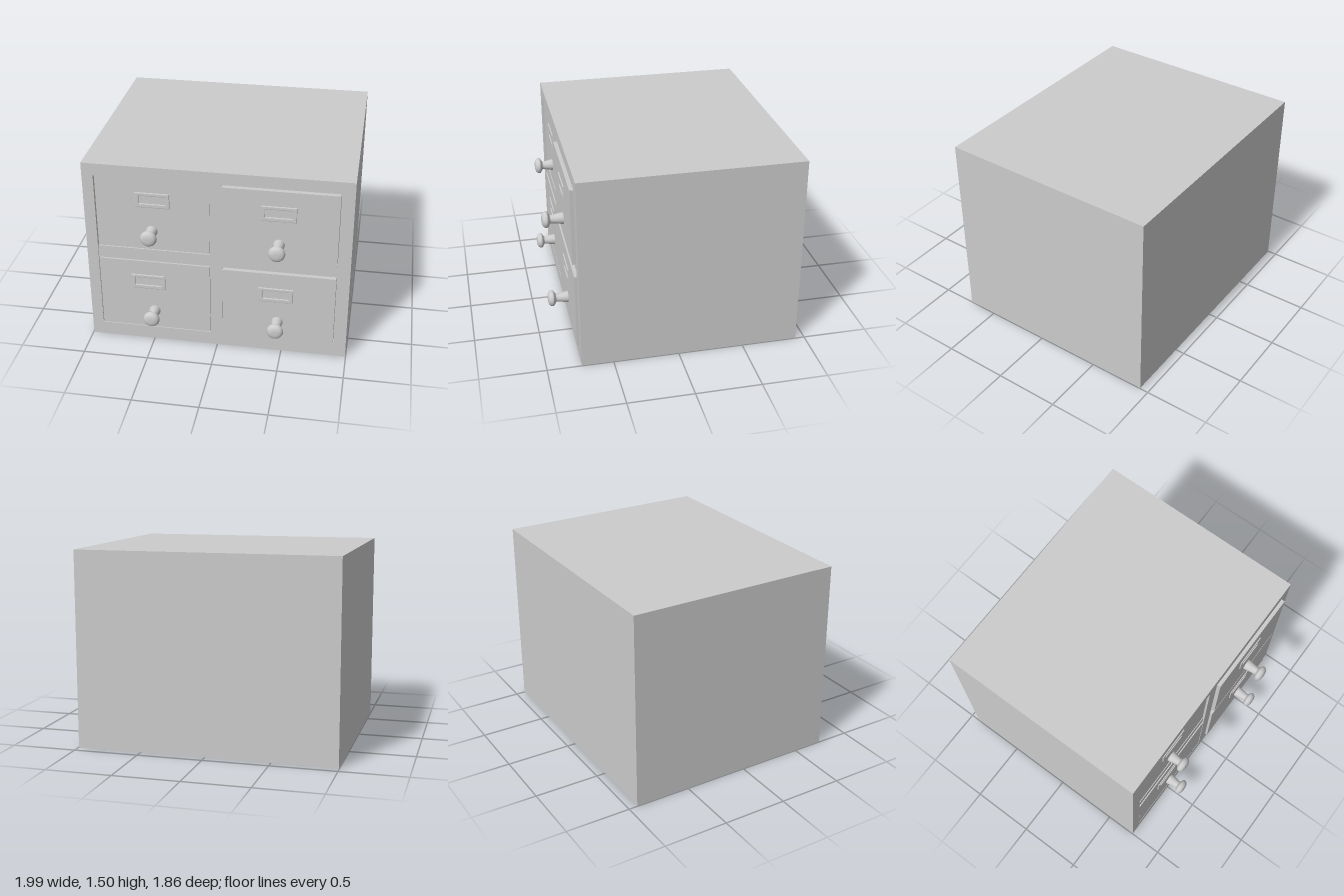
import * as THREE from 'three';

const material = new THREE.MeshStandardMaterial({ color: 0xcccccc });

function addMesh(parent, name, geometry, x = 0, y = 0, z = 0) {
  const mesh = new THREE.Mesh(geometry, material);
  mesh.name = name;
  mesh.position.set(x, y, z);
  parent.add(mesh);
  return mesh;
}

// Traces a rectangle from its corners
function rectangle(target, x0, y0, x1, y1) {
  target.moveTo(x0, y0);
  target.lineTo(x1, y0);
  target.lineTo(x1, y1);
  target.lineTo(x0, y1);
  target.closePath();
  return target;
}

// Turned knob: flared foot, narrow neck and domed head, pointing along +z
function knobGeometry(length) {
  const profile = new THREE.SplineCurve([
    [0.046, -0.02], [0.042, 0.02], [0.032, length - 0.075], [0.036, length - 0.06],
    [0.059, length - 0.045], [0.062, length - 0.03], [0.05, length - 0.01],
    [0.025, length - 0.001], [0, length],
  ].map(([r, h]) => new THREE.Vector2(r, h))).getPoints(32);
  profile.forEach((p) => { p.x = Math.max(p.x, 0); });
  return new THREE.LatheGeometry(profile, 28).rotateX(Math.PI / 2);
}

// Shallow label holder with a raised rim
function labelGeometry() {
  const shape = rectangle(new THREE.Shape(), -0.125, -0.055, 0.125, 0.055);
  shape.holes.push(rectangle(new THREE.Path(), -0.105, -0.035, 0.105, 0.04));
  return new THREE.ExtrudeGeometry(shape, {
    depth: 0.004, bevelEnabled: true, bevelThickness: 0.004, bevelSize: 0.006, bevelSegments: 2,
  });
}

export function createModel() {
  const model = new THREE.Group();
  model.name = 'drawerCabinet';

  const back = -0.93, recess = 0.68, front = 0.74;
  const columns = [[-0.91, -0.05], [0.04, 0.90]];

  // Solid carcass behind the drawer fronts
  addMesh(model, 'carcass', new THREE.BoxGeometry(1.99, 1.505, recess - back), 0, 0.7525, (recess + back) / 2);

  // Front frame with one opening per column
  const frame = rectangle(new THREE.Shape(), -0.995, 0, 0.995, 1.505);
  columns.forEach(([x0, x1]) => frame.holes.push(rectangle(new THREE.Path(), x0, 0.11, x1, 1.41)));
  addMesh(model, 'frontFrame',
    new THREE.ExtrudeGeometry(frame, { depth: front - recess, bevelEnabled: false }), 0, 0, recess);

  // Rails between the upper and lower drawers
  columns.forEach(([x0, x1]) => addMesh(model, 'middleRail',
    new THREE.BoxGeometry(x1 - x0, 0.1, 0.05), (x0 + x1) / 2, 0.76, 0.705));

  // Each drawer: column, bottom edge, face depth, knob position and tip, label position
  const drawers = [
    { name: 'upperRightDrawer', column: 0, y: 0.81, face: 0.725, knob: [-0.49, 0.97, 0.87], label: [-0.48, 1.23] },
    { name: 'lowerRightDrawer', column: 0, y: 0.11, face: 0.738, knob: [-0.49, 0.265, 0.89], label: [-0.53, 0.525] },
    { name: 'upperLeftDrawer', column: 1, y: 0.81, face: 0.768, knob: [0.465, 0.97, 0.93], label: [0.46, 1.225] },
    { name: 'lowerLeftDrawer', column: 1, y: 0.11, face: 0.758, knob: [0.465, 0.28, 0.915], label: [0.45, 0.52] },
  ];
  const gap = 0.004;
  for (const { name, column, y, face, knob, label } of drawers) {
    const [x0, x1] = columns[column];
    const drawer = new THREE.Group();
    drawer.name = name;
    model.add(drawer);
    const depth = face - recess;
    addMesh(drawer, 'drawerFront', new THREE.BoxGeometry(x1 - x0 - 2 * gap, 0.6 - 2 * gap, depth),
      (x0 + x1) / 2, y + 0.3, recess + depth / 2);
    addMesh(drawer, 'knob', knobGeometry(knob[2] - face), knob[0], knob[1], face);
    addMesh(drawer, 'labelHolder', labelGeometry(), label[0], label[1], face);
  }
  return model;
}
